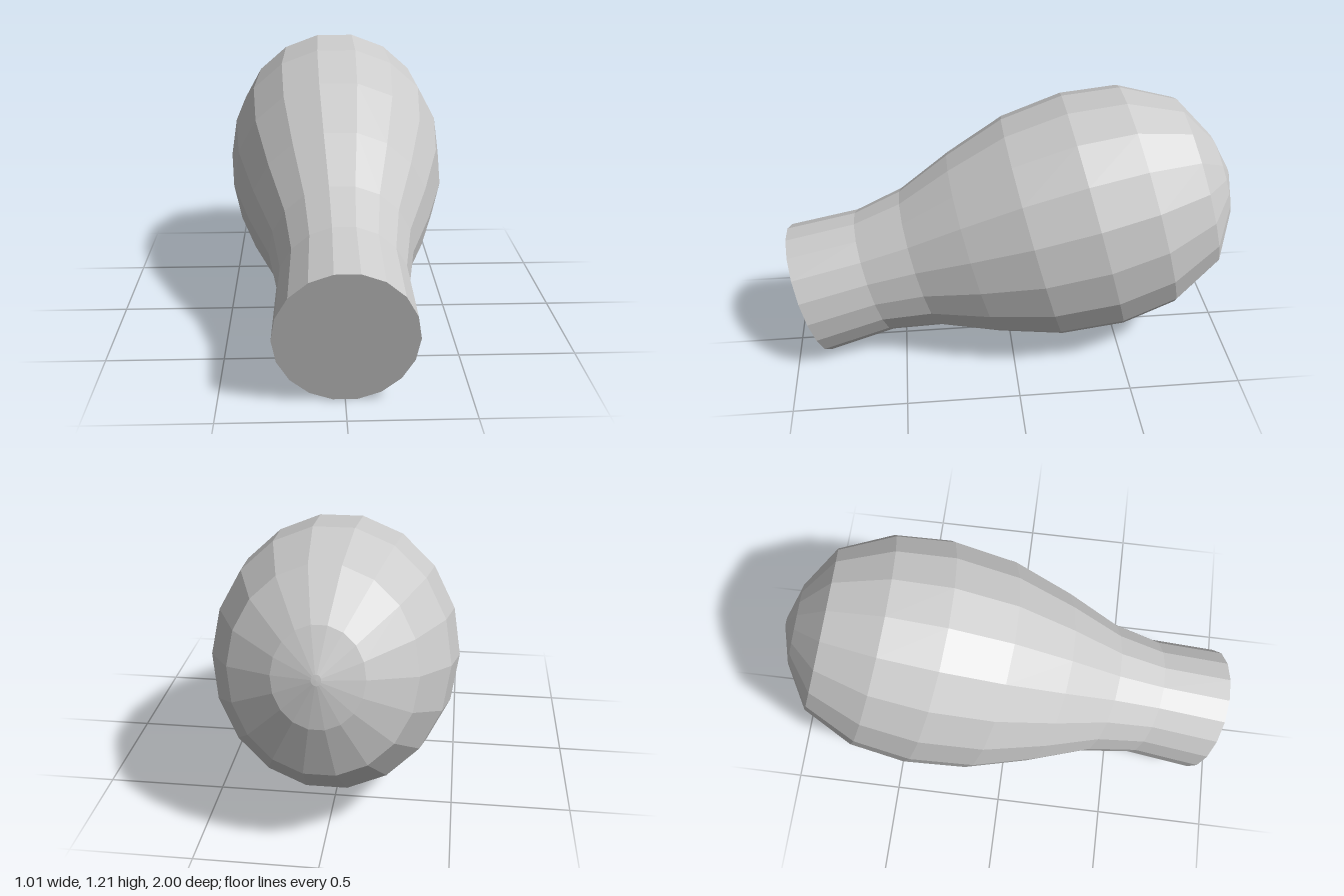
import * as THREE from 'three';

export function createModel() {
  const group = new THREE.Group();
  group.name = 'tiltedBulb';

  // Profile as [radius, distance along the axis], from the flat base to the rounded tip
  const profile = [
    [0, 0], [0.315, 0], [0.298, 0.313], [0.339, 0.536], [0.443, 0.789],
    [0.534, 1.066], [0.562, 1.348], [0.526, 1.6], [0.401, 1.829],
    [0.194, 1.941], [0.021, 1.984], [0, 1.985],
  ].map(([r, t]) => new THREE.Vector2(r, t));

  // 18-sided bulb with a vertex on each side, slightly narrower than tall
  const geometry = new THREE.LatheGeometry(profile, 18, Math.PI / 2);
  geometry.scale(0.9, 1, 1);

  const bulb = new THREE.Mesh(
    geometry,
    new THREE.MeshStandardMaterial({ color: 0xcccccc, flatShading: true }),
  );
  bulb.name = 'bulb';

  // Axis points backwards and rises 15 degrees
  bulb.rotation.x = -THREE.MathUtils.degToRad(75);
  bulb.position.set(0, 0.3, 0.922);
  group.add(bulb);
  return group;
}
